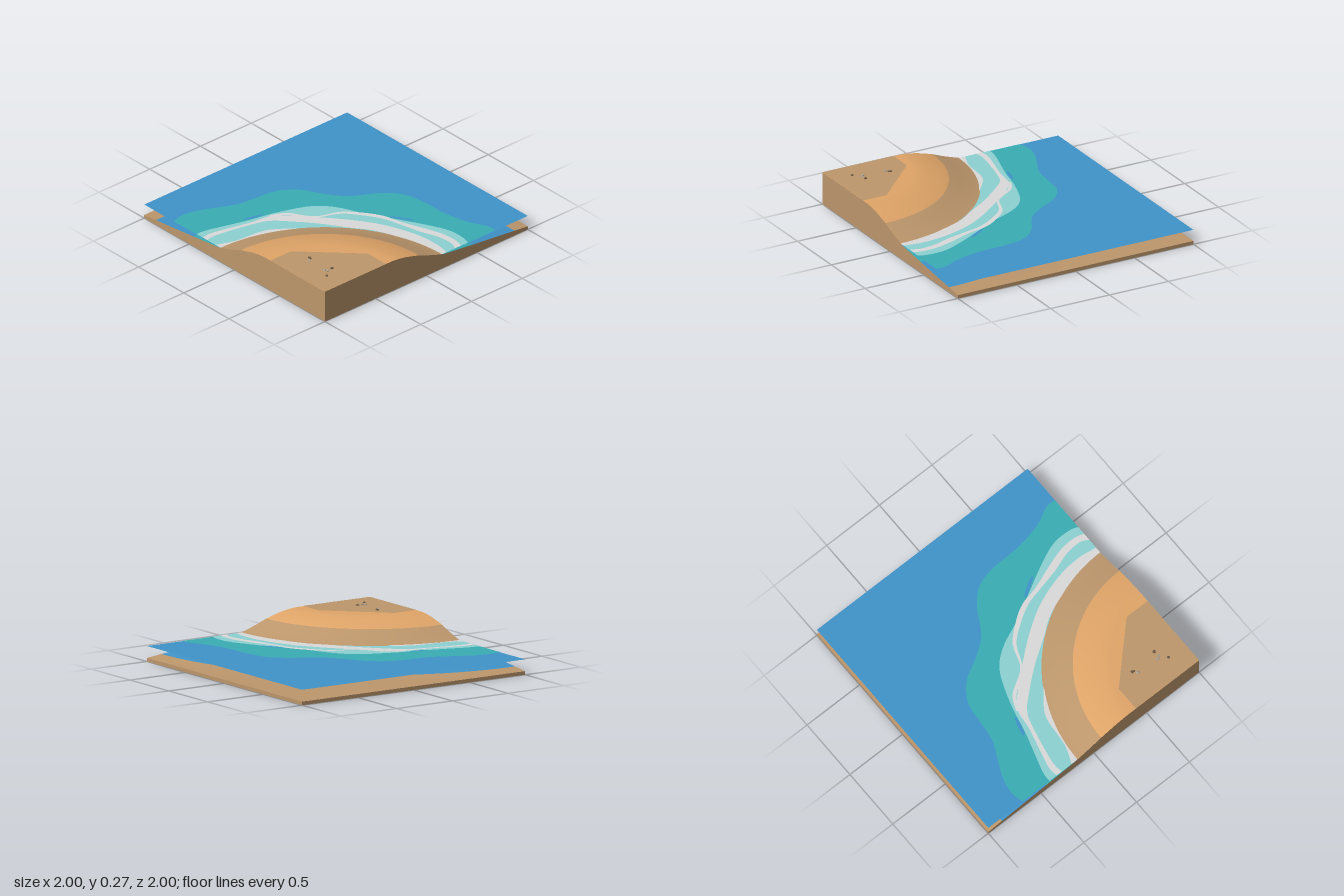
import * as THREE from 'three';

const mat = (name, color) => {
  const m = new THREE.MeshStandardMaterial({ color, side: THREE.DoubleSide });
  m.name = name;
  return m;
};

// Height of the land by distance from the high corner (-1, 1)
const PROFILE = [[0, 0.255], [0.66, 0.255], [0.72, 0.25], [0.8, 0.236], [0.93, 0.2], [1, 0.172], [1.08, 0.144],
  [1.17, 0.117], [1.25, 0.107], [1.45, 0.085], [1.7, 0.058], [1.87, 0.041], [2, 0.027], [2.9, 0.027]];
const height = (r) => {
  const i = Math.max(1, PROFILE.findIndex((p) => p[0] >= r));
  const [a, b] = [PROFILE[i - 1], PROFILE[i]];
  return THREE.MathUtils.mapLinear(r, a[0], b[0], a[1], b[1]);
};

const v2 = ([x, z]) => new THREE.Vector2(x, -z);
const smooth = (pts, n = 60) => new THREE.SplineCurve(pts.map(v2)).getPoints(n);

export function createModel() {
  const group = new THREE.Group();
  const brown = mat('brown sand', 0xbd976c);
  const orange = mat('dry sand', 0xe0a568);
  const blue = mat('deep water', 0x4094ca);
  const teal = mat('shallow water', 0x39aeb5);
  const pale = mat('pale water', 0x8cd2d2);
  const foam = mat('foam', 0xdadada);
  const stoneGrey = mat('grey stone', 0xa8a49c);
  const stoneDark = mat('dark stone', 0x6b5844);

  const add = (name, geo, material, x = 0, y = 0, z = 0) => {
    const m = new THREE.Mesh(geo, material);
    m.name = name;
    m.position.set(x, y, z);
    group.add(m);
    return m;
  };
  // Flat sheet lying at height y
  const sheet = (name, pts, material, y) =>
    add(name, new THREE.ShapeGeometry(new THREE.Shape(pts)).rotateX(-Math.PI / 2), material, 0, y, 0);

  // Land: rings around the high corner, clamped to the square
  const STEPS = 64;
  const radii = [0, 0.4, 0.66, 0.72, 0.8, 0.87, 0.93, 1, 1.08, 1.13, 1.17, 1.25, 1.45, 1.7, 1.87, 2, 2.3, 2.83];
  const land = new THREE.BufferGeometry();
  const pos = [], idx = [];
  for (const ring of radii) {
    for (let j = 0; j <= STEPS; j++) {
      const a = (j / STEPS) * Math.PI / 2, c = Math.cos(a), s = Math.sin(a);
      const r = Math.min(ring, 2 / Math.max(c, s));
      pos.push(-1 + r * c, height(r), 1 - r * s);
    }
  }
  const zone = (r) => (r < 0.93 ? 0 : r < 1.17 ? 1 : r < 1.45 ? 2 : r < 1.87 ? 3 : 1);
  for (let i = 0; i < radii.length - 1; i++) {
    land.addGroup(idx.length, STEPS * 6, zone(radii[i]));
    for (let j = 0; j < STEPS; j++) {
      const p = i * (STEPS + 1) + j, q = p + STEPS + 1;
      idx.push(p, q, q + 1, p, q + 1, p + 1);
    }
  }
  land.setAttribute('position', new THREE.Float32BufferAttribute(pos, 3));
  land.setIndex(idx);
  land.computeVertexNormals();
  add('land', land, [orange, brown, teal, blue]);

  // Cut sides and underside of the land
  const cut = new THREE.Shape();
  cut.moveTo(-1, 0);
  cut.lineTo(1, 0);
  PROFILE.filter((p) => p[0] <= 2).reverse().forEach(([r, y]) => cut.lineTo(r - 1, y));
  add('frontCut', new THREE.ShapeGeometry(cut), brown, 0, 0, 1);
  add('rightCut', new THREE.ShapeGeometry(cut).rotateY(Math.PI / 2), brown, -1, 0, 0);
  add('backEdge', new THREE.PlaneGeometry(2, 0.027).rotateY(Math.PI), brown, 0, 0.0135, -1);
  add('leftEdge', new THREE.PlaneGeometry(2, 0.027).rotateY(Math.PI / 2), brown, 1, 0.0135, 0);
  add('underside', new THREE.PlaneGeometry(2, 2).rotateX(Math.PI / 2), brown);

  // Brown patch on the flat top
  sheet('topPatch', [[-1, 0.4], [-0.8, 0.4], [-0.4, 0.8], [-0.4, 1], [-1, 1]].map(v2), brown, 0.257);

  // Water sheets, each a little higher than the one below
  sheet('sea', [[-1, -1], [1, -1], [1, 1], [-1, 1]].map(v2), blue, 0.116);
  const corner = v2([-1, 1]);
  sheet('shallows', [...smooth([[-1, -0.67], [-0.9, -0.695], [-0.75, -0.665], [-0.5, -0.55], [-0.35, -0.525],
    [-0.15, -0.5], [0, -0.39], [0.08, -0.25], [0.2, -0.09], [0.4, 0.03], [0.52, 0.16], [0.56, 0.35],
    [0.565, 0.55], [0.61, 0.77], [0.68, 0.92], [0.68, 1]]), corner], teal, 0.118);
  sheet('paleShallows', [...smooth([[-1, -0.42], [-0.9, -0.41], [-0.6, -0.32], [-0.35, -0.26], [-0.1, -0.16],
    [0.03, -0.02], [0.13, 0.2], [0.22, 0.36], [0.35, 0.6], [0.425, 0.78], [0.43, 0.93], [0.41, 1]]), corner],
  pale, 0.12);

  // Foam bands between an outer and an inner line
  const band = (name, outer, inner, y) => sheet(name, [...smooth(outer), ...smooth(inner).reverse()], foam, y);
  band('sweepingFoam',
    [[-1, -0.35], [-0.9, -0.355], [-0.6, -0.28], [-0.42, -0.25], [-0.3, -0.15], [-0.15, 0.02], [0, 0.21],
      [0.12, 0.41], [0.2, 0.65], [0.22, 0.85], [0.2, 1]],
    [[-1, -0.3], [-0.9, -0.31], [-0.6, -0.25], [-0.47, -0.2], [-0.36, -0.09], [-0.22, 0.08], [-0.1, 0.26],
      [0, 0.4], [0.08, 0.6], [0.12, 0.8], [0.12, 1]], 0.122);
  band('shoreFoam',
    [[-1, -0.21], [-0.85, -0.155], [-0.62, -0.13], [-0.5, -0.07], [-0.36, 0.05], [-0.18, 0.21], [0, 0.43]],
    [[-1, -0.1], [-0.8, -0.1], [-0.62, -0.06], [-0.5, 0], [-0.4, 0.08], [-0.22, 0.26], [-0.05, 0.46]], 0.122);
  band('outerFoam',
    [[-0.42, -0.265], [-0.3, -0.2], [-0.18, -0.03], [0, 0.045], [0.12, 0.17], [0.2, 0.3], [0.24, 0.46],
      [0.31, 0.65], [0.355, 0.8], [0.36, 0.93], [0.34, 1]],
    [[-0.43, -0.25], [-0.32, -0.18], [-0.2, -0.02], [-0.02, 0.065], [0.08, 0.18], [0.17, 0.33], [0.21, 0.48],
      [0.25, 0.65], [0.3, 0.8], [0.31, 0.93], [0.28, 1]], 0.1225);

  // Slivers of deep water at the edge of the pale shallows
  for (const [x, z, length, turn] of [[-0.53, -0.32, 0.08, -0.25], [0.275, 0.42, 0.09, -1.0]]) {
    const sliver = add('deepSliver', new THREE.CircleGeometry(1, 20).rotateX(-Math.PI / 2), blue, x, 0.1235, z);
    sliver.scale.set(length, 1, 0.014);
    sliver.rotation.y = turn;
  }

  // Small stones on the flat top
  const stones = [[-0.76, 0.56, 0.013], [-0.79, 0.59, 0.012], [-0.765, 0.575, 0.009], [-0.8, 0.77, 0.012],
    [-0.74, 0.785, 0.014], [-0.785, 0.79, 0.011], [-0.84, 0.84, 0.012]];
  stones.forEach(([x, z, r], i) => {
    const stone = add('stone', new THREE.DodecahedronGeometry(r), i % 2 ? stoneGrey : stoneDark, x, 0.259, z);
    stone.scale.y = 0.6;
    stone.rotation.y = i * 1.3;
  });
  return group;
}
